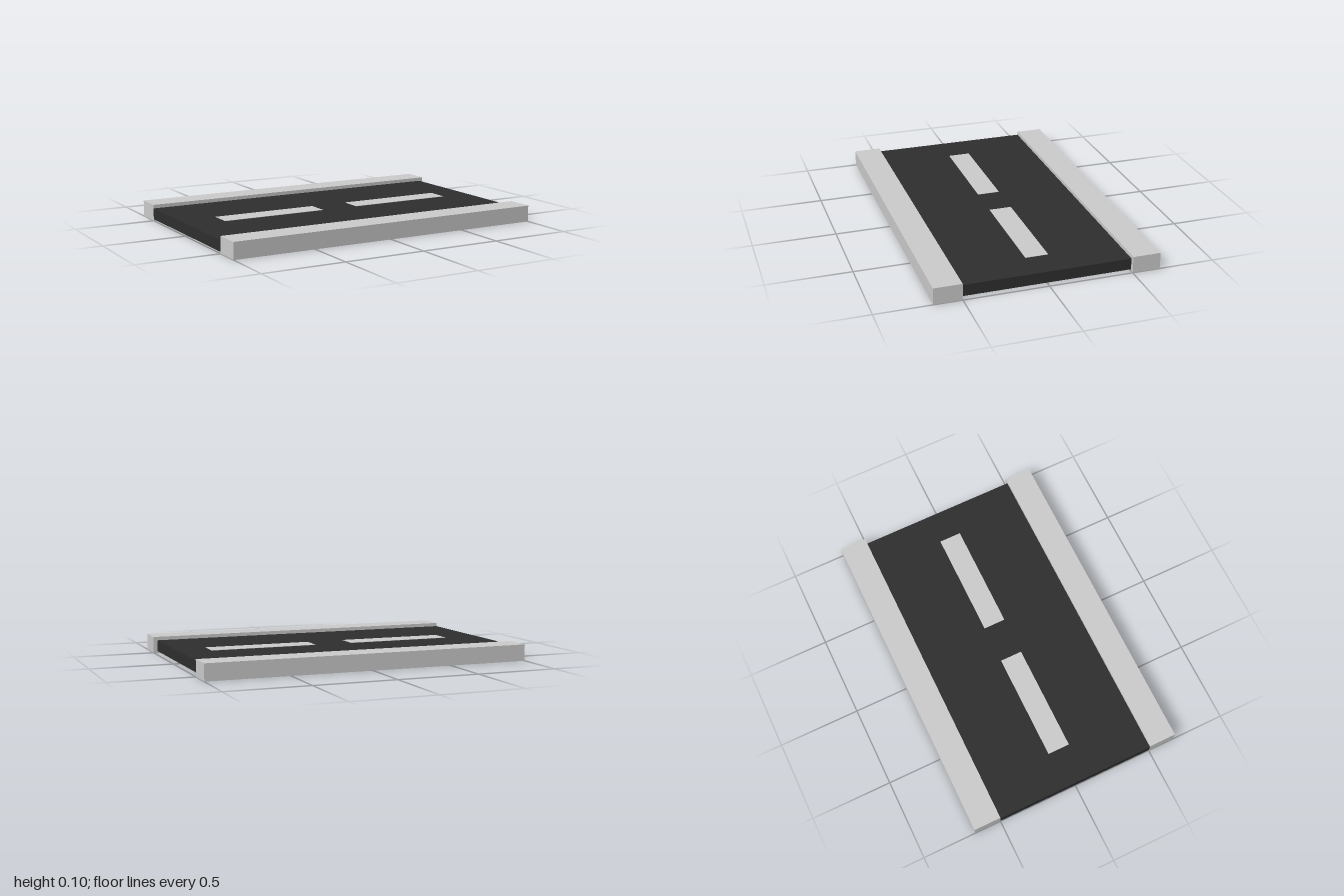
import * as THREE from 'three';

const grey = new THREE.MeshStandardMaterial({ color: 0xcccccc });
const asphalt = new THREE.MeshStandardMaterial({ color: 0x2e2e2e });

// Box given by its lowest and highest corners
function block(name, [x0, y0, z0], [x1, y1, z1], material) {
  const mesh = new THREE.Mesh(new THREE.BoxGeometry(x1 - x0, y1 - y0, z1 - z0), material);
  mesh.position.set((x0 + x1) / 2, (y0 + y1) / 2, (z0 + z1) / 2);
  mesh.name = name;
  return mesh;
}

export function createModel() {
  const road = new THREE.Group();
  road.name = 'roadSegment';

  // Road slab, flush with the kerbs at one end and slightly short at the other
  road.add(block('roadSurface', [-1, 0.01, -0.5], [0.975, 0.078, 0.5], asphalt));

  // Kerbs along the front and back edges
  road.add(block('frontKerb', [-1, 0, 0.5], [1, 0.1, 0.667], grey));
  road.add(block('backKerb', [-1, 0, -0.667], [1, 0.1, -0.5], grey));

  // Dashed centre line, lying just proud of the surface
  [[-0.773, -0.115], [0.122, 0.783]].forEach(([x0, x1], i) => {
    road.add(block(`laneMarking${i + 1}`, [x0, 0.07, -0.07], [x1, 0.08, 0.067], grey));
  });

  return road;
}
